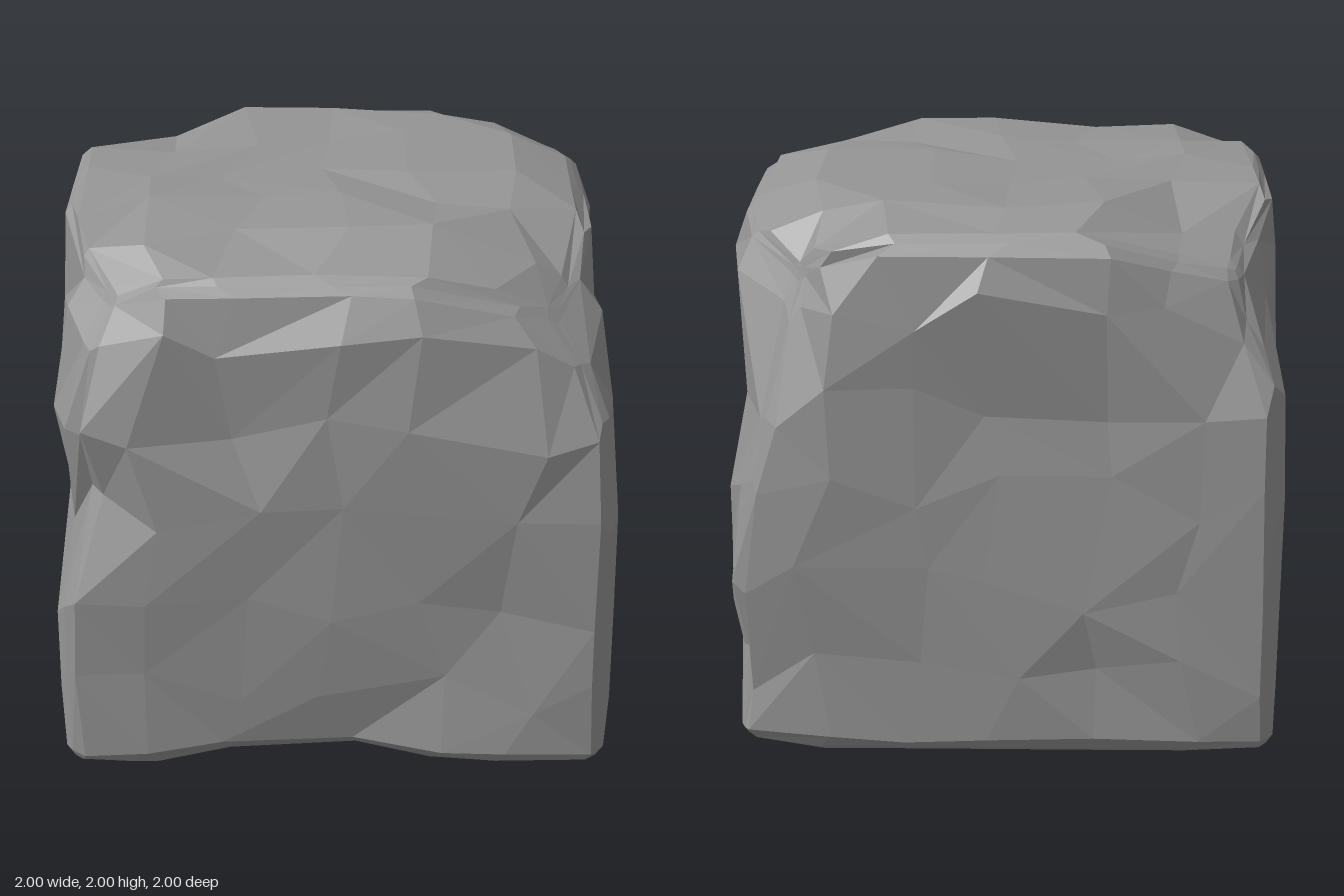
import * as THREE from 'three';
import { mergeVertices } from 'three/addons/utils/BufferGeometryUtils.js';

const { lerp, smoothstep } = THREE.MathUtils;
const AXES = ['x', 'y', 'z'];

// Repeatable pseudo-random value in -1..1
function seeded(seed) {
  let s = seed;
  return () => {
    s = (s * 16807) % 2147483647;
    return (s / 2147483647) * 2 - 1;
  };
}

// Grid lines from the middle of a face to its edge
const STEPS = [0, 0.34, 0.67, 0.93, 1];
const gridLine = (u) => Math.sign(u) * STEPS[Math.round(Math.abs(u) * 4)];

// Wear on the block (measured from its middle): centre, reach and push, each as x, y, z
const DENTS = [
  [[-1, 0.08, 1], [0.45, 0.33, 0.4], [0.11, 0.1, -0.11]],       // notch in the front edge
  [[1, 0.5, -1], [0.5, 0.9, 0.5], [-0.14, 0, 0.03]],            // bevelled back edge
  [[1, 1, -1], [0.6, 0.6, 0.6], [-0.09, -0.11, 0.09]],          // worn upper corners
  [[-1, 1, -1], [0.7, 0.7, 0.7], [0.12, -0.14, 0.12]],
  [[-1, 0.85, 1], [0.5, 0.5, 0.5], [0.06, -0.03, -0.05]],
  [[1, 1, 1], [0.8, 0.7, 0.8], [-0.06, -0.12, -0.06]],
  [[1, -0.6, -1], [0.35, 0.35, 0.35], [-0.06, 0, 0.06]],        // nick low in the back edge
  [[1, -1, -0.6], [0.4, 0.35, 0.6], [-0.08, 0.06, 0.02]],       // chipped lower side
  [[1, -1, 0.3], [0.3, 0.4, 0.5], [-0.08, 0.02, 0]],
  [[1, 0.4, -0.1], [0.3, 0.5, 0.6], [-0.06, 0, 0]],             // shallow hollows in the faces
  [[1, -0.4, -0.4], [0.3, 0.4, 0.5], [-0.05, 0, 0]],
  [[-0.35, 0.5, 1], [0.6, 0.4, 0.3], [0, 0, -0.07]],
  [[0.35, -0.35, 1], [0.6, 0.6, 0.3], [0, 0, -0.04]],
  [[-0.1, -1, 1], [0.6, 0.4, 0.4], [0, 0.05, -0.07]],
  [[-0.2, 0.2, -1], [0.6, 0.6, 0.3], [0, 0, 0.04]],
  [[-1, 0.1, -0.4], [0.3, 0.6, 0.5], [0.04, 0, 0]],
].map((d) => d.map((v) => new THREE.Vector3(...v)));

// Edge radius: crisp low down and along one upper side, widest along the upper front
function edgeRadius({ x, y, z }) {
  const side = lerp(0.18, 0.34, smoothstep(x, -1, -0.4));
  const top = lerp(side, 0.46, smoothstep(z, 0.3, 0.8));
  return lerp(0.12, top, smoothstep(y, 0, 0.9));
}

function stoneGeometry() {
  let geo = new THREE.BoxGeometry(2, 2, 2, 8, 8, 8);
  geo.deleteAttribute('normal');
  geo.deleteAttribute('uv');
  geo = mergeVertices(geo);
  const pos = geo.attributes.position;
  const rand = seeded(4711);
  const p = new THREE.Vector3();
  const core = new THREE.Vector3();
  const offset = new THREE.Vector3();

  for (let i = 0; i < pos.count; i++) {
    p.fromBufferAttribute(pos, i);
    p.set(gridLine(p.x), gridLine(p.y), gridLine(p.z));
    const rim = AXES.filter((axis) => Math.abs(p[axis]) > 0.9).length > 1;

    // Slide along the faces for irregular facets, sink some points of the open faces
    for (const axis of AXES) {
      const n = rand();
      const u = Math.abs(p[axis]);
      if (u < 1) p[axis] += n * 0.09 * Math.min(1, (1 - u) * 3);
      else if (!rim) p[axis] -= Math.sign(p[axis]) * Math.max(0, n + 0.4) * 0.03;
    }

    // Round the edges
    const r = edgeRadius(p);
    core.copy(p).clampScalar(-1 + r, 1 - r);
    offset.subVectors(p, core);
    if (offset.length() > r) p.copy(core).addScaledVector(offset.normalize(), r);

    // Press in the wear, fading out over its reach
    const start = p.clone();
    for (const [at, reach, push] of DENTS) {
      const t = 1 - offset.subVectors(start, at).divide(reach).length();
      if (t > 0) p.addScaledVector(push, smoothstep(t, 0, 0.8));
    }
    pos.setXYZ(i, p.x, p.y, p.z);
  }

  // Turn the diagonal of some squares so the facets do not line up
  const index = geo.index.array;
  for (let i = 0; i < index.length; i += 6) {
    if (rand() > 0) continue;
    const [a, b, d, , c] = index.slice(i, i + 6);
    index.set([a, b, c, a, c, d], i);
  }

  geo.translate(0, 1, 0);
  geo.computeVertexNormals();
  return geo;
}

export function createModel() {
  const model = new THREE.Group();
  model.name = 'stoneBlock';
  const material = new THREE.MeshStandardMaterial({ color: 0x959595, flatShading: true });
  const stone = new THREE.Mesh(stoneGeometry(), material);
  stone.name = 'stone';
  model.add(stone);
  return model;
}
